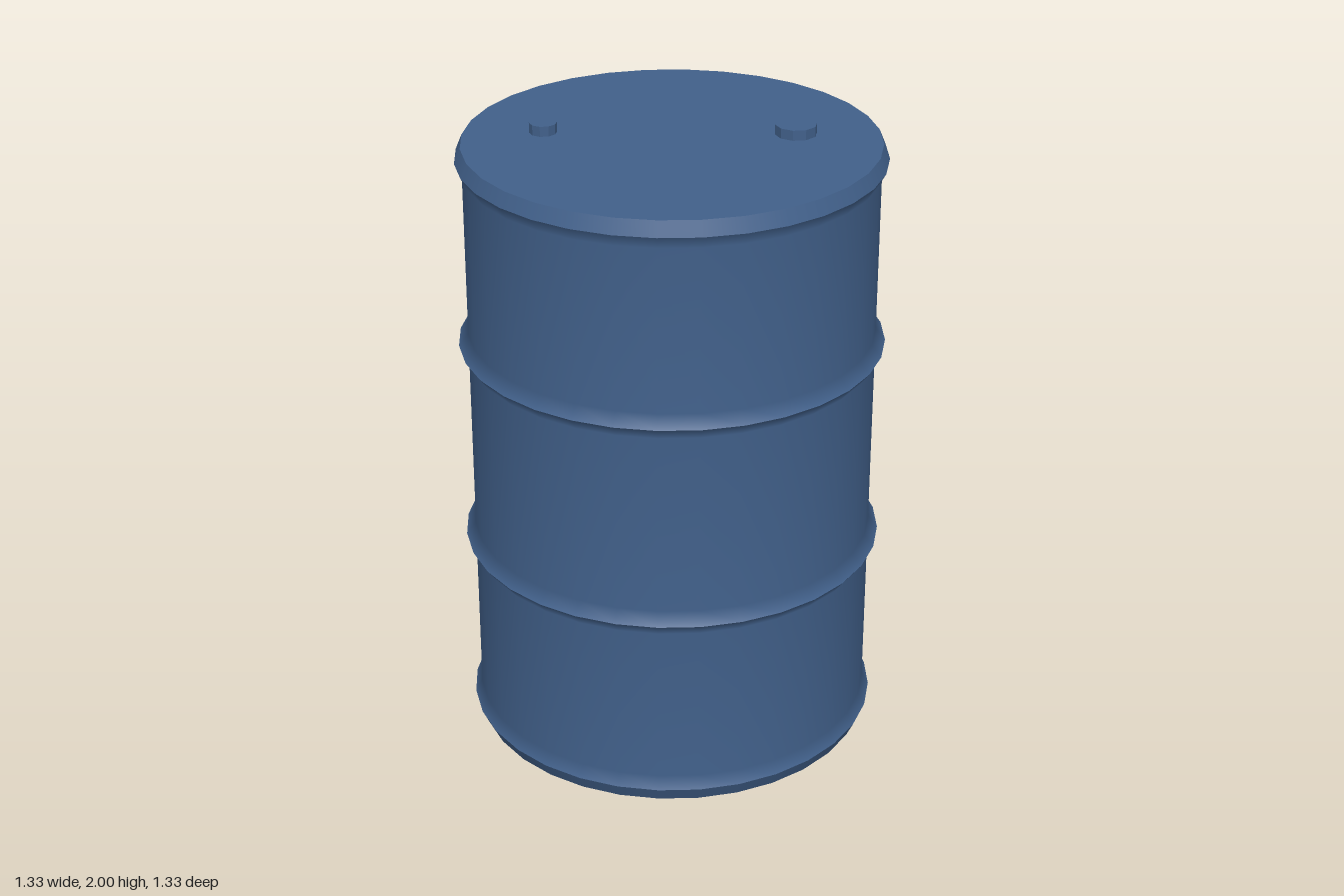
import * as THREE from 'three';

const SIDES = 32;
const BODY = 0.637, RIB = 0.667, RIM = 0.659, TOP = 1.968;

export function createModel() {
  const drum = new THREE.Group();
  drum.name = 'drum';
  const blue = new THREE.MeshStandardMaterial({ color: 0x41608a });
  blue.name = 'blue paint';

  // Smooth ring turned from a profile of [radius, height] points
  const turn = (name, profile) => {
    const points = profile.map(([r, y]) => new THREE.Vector2(r, y));
    const mesh = new THREE.Mesh(new THREE.LatheGeometry(points, SIDES), blue);
    mesh.name = name;
    drum.add(mesh);
  };

  // Flat ends and the sloped rims beside them
  turn('bottomPlate', [[0, 0], [0.637, 0]]);
  turn('bottomRim', [[0.637, 0], [RIM, 0.047]]);
  turn('topRim', [[RIM, 1.922], [0.64, TOP]]);
  turn('topPlate', [[0.64, TOP], [0, TOP]]);

  // Wall sections, each flaring to a sharp ridge at both ends
  const ridges = [[RIM, 0.047], [RIB, 0.65], [RIB, 1.32], [RIM, 1.922]];
  const names = ['lowerWall', 'middleWall', 'upperWall'];
  names.forEach((name, i) => {
    const low = ridges[i], high = ridges[i + 1];
    turn(name, [low, [BODY, low[1] + 0.04], [BODY, high[1] - 0.04], high]);
  });

  // Faceted plugs on the lid
  const plug = (name, radius, x, z) => {
    const h = 2 - TOP + 0.01;
    const geometry = new THREE.CylinderGeometry(radius, radius, h, 10, 1, false, Math.PI / 2).toNonIndexed();
    geometry.computeVertexNormals();
    const mesh = new THREE.Mesh(geometry, blue);
    mesh.name = name;
    mesh.position.set(x, 2 - h / 2, z);
    drum.add(mesh);
  };
  plug('largePlug', 0.065, 0.38, 0);
  plug('smallPlug', 0.043, -0.38, -0.113);

  return drum;
}
